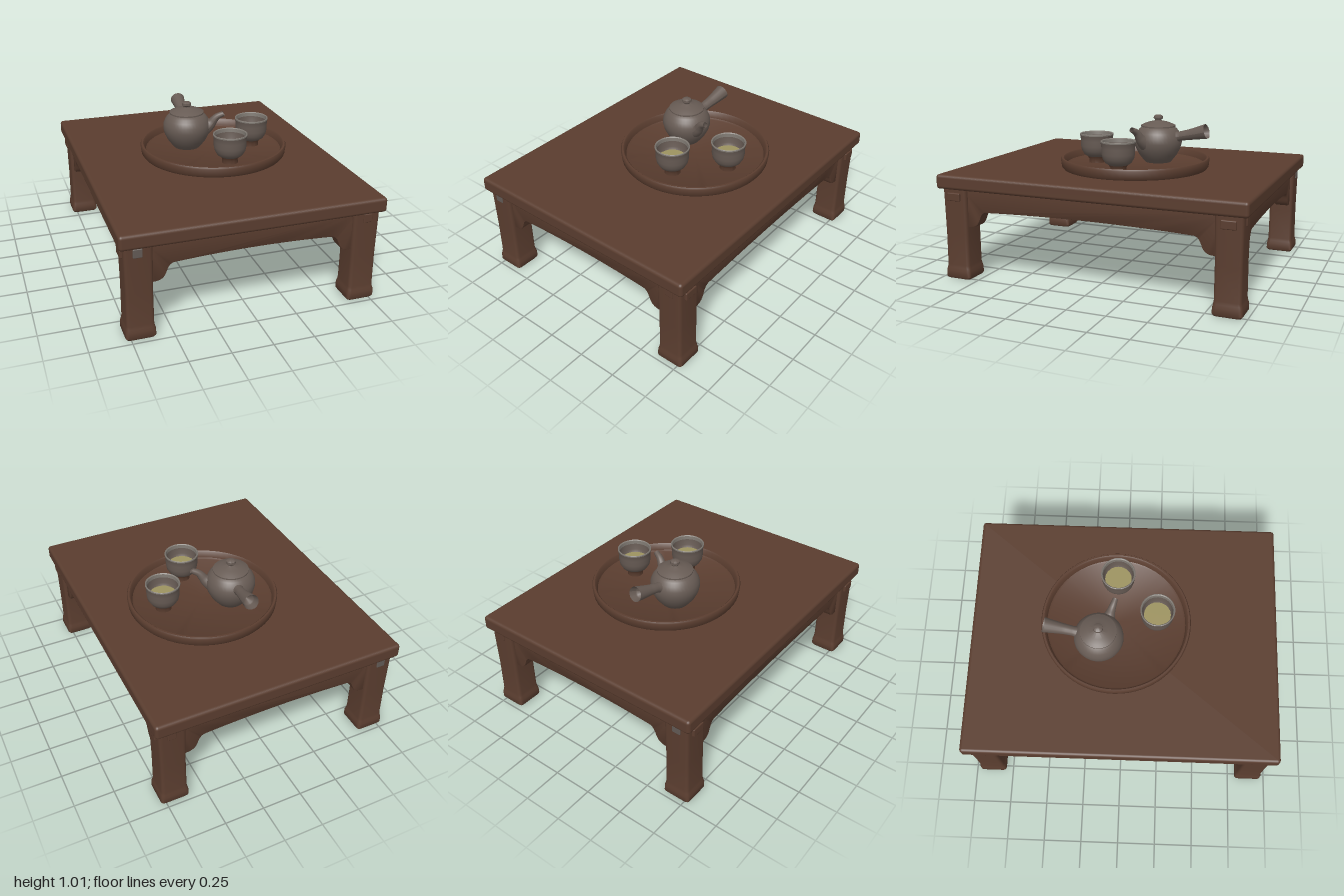
import * as THREE from 'three';
import { toCreasedNormals } from 'three/addons/utils/BufferGeometryUtils.js';
import { RoundedBoxGeometry } from 'three/addons/geometries/RoundedBoxGeometry.js';

const material = (name, color, side = THREE.FrontSide) => {
  const m = new THREE.MeshStandardMaterial({ color, side });
  m.name = name;
  return m;
};

export function createModel() {
  const wood = material('brown wood', 0x5a3d2f);
  const darkWood = material('dark underside wood', 0x2e2019);
  const clay = material('grey clay', 0x675b54, THREE.DoubleSide);
  const glaze = material('pale rim glaze', 0x7d7770);
  const tea = material('green tea', 0x9d9360);
  const worn = material('worn grey', 0x625a55);

  const model = new THREE.Group();
  model.name = 'teaTable';

  const add = (parent, name, geometry, mat, x = 0, y = 0, z = 0) => {
    const mesh = new THREE.Mesh(geometry, mat);
    mesh.name = name;
    mesh.position.set(x, y, z);
    parent.add(mesh);
    return mesh;
  };
  const lathe = (points, segments = 40) => toCreasedNormals(
    new THREE.LatheGeometry(points.map(([r, y]) => new THREE.Vector2(r, y)), segments), 0.7);

  // Tube whose radius runs through the given list along the path
  const taperedTube = (path, radii) => {
    const n = 20, sides = 16;
    const g = new THREE.TubeGeometry(path, n, 1, sides, false);
    const pos = g.attributes.position, v = new THREE.Vector3();
    for (let i = 0; i < pos.count; i++) {
      const t = Math.floor(i / (sides + 1)) / n;
      const s = t * (radii.length - 1), k = Math.min(Math.floor(s), radii.length - 2);
      const r = THREE.MathUtils.lerp(radii[k], radii[k + 1], s - k);
      const p = path.getPointAt(t);
      v.fromBufferAttribute(pos, i).sub(p).multiplyScalar(r).add(p);
      pos.setXYZ(i, v.x, v.y, v.z);
    }
    g.computeVertexNormals();
    return g;
  };
  const curve = pts => new THREE.CatmullRomCurve3(pts.map(p => new THREE.Vector3(...p)));

  // Table top with softened edges and a dark panel beneath
  add(model, 'tableTop', new RoundedBoxGeometry(1.61, 0.092, 2, 3, 0.02), wood, 0, 0.631, 0);
  add(model, 'undersidePanel', new THREE.BoxGeometry(1.4, 0.008, 1.76), darkWood, 0, 0.582, 0);

  // Legs: rounded square post, shaped by half-width at each height
  const h = 0.08, c = 0.022;
  const square = new THREE.Shape();
  square.moveTo(-h + c, -h);
  square.lineTo(h - c, -h).quadraticCurveTo(h, -h, h, -h + c);
  square.lineTo(h, h - c).quadraticCurveTo(h, h, h - c, h);
  square.lineTo(-h + c, h).quadraticCurveTo(-h, h, -h, h - c);
  square.lineTo(-h, -h + c).quadraticCurveTo(-h, -h, -h + c, -h);
  const heights = [0, 0.012, 0.05, 0.07, 0.09, 0.3, 0.59];
  const widths = [0.082, 0.09, 0.089, 0.084, 0.081, 0.08, 0.084];
  let legGeometry = new THREE.ExtrudeGeometry(square,
    { depth: 6, steps: 6, bevelEnabled: false, curveSegments: 4 });
  legGeometry.rotateX(-Math.PI / 2);
  const lp = legGeometry.attributes.position;
  for (let i = 0; i < lp.count; i++) {
    const k = Math.round(lp.getY(i)), s = widths[k] / h;
    lp.setXYZ(i, lp.getX(i) * s, heights[k], lp.getZ(i) * s);
  }
  legGeometry = toCreasedNormals(legGeometry, 0.7);

  for (const sx of [-1, 1]) for (const sz of [-1, 1]) {
    const leg = new THREE.Group();
    leg.name = 'leg';
    leg.position.set(sx * 0.692, 0, sz * 0.885);
    model.add(leg);
    add(leg, 'legPost', legGeometry, wood);
    add(leg, 'footPad', new THREE.BoxGeometry(0.135, 0.006, 0.135), worn, 0, 0.001, 0);
    // Joint pegs on the two outer faces
    add(leg, 'sidePeg', new RoundedBoxGeometry(0.03, 0.052, 0.09, 2, 0.006), wood, sx * 0.083, 0.537, 0);
    add(leg, 'endPeg', new RoundedBoxGeometry(0.055, 0.055, 0.02, 2, 0.005),
      sx < 0 ? worn : wood, sx * 0.005, 0.55, sz * 0.08);
  }

  // Aprons: shallow arch with a curled bracket at each end
  const apron = (end, depth) => {
    const s = new THREE.Shape();
    s.moveTo(-end - 0.04, 0.59);
    s.lineTo(-end - 0.04, 0.34);
    s.lineTo(-end + 0.02, 0.342);
    s.bezierCurveTo(-end + 0.1, 0.35, -end + 0.07, 0.43, -end + 0.125, 0.445);
    s.quadraticCurveTo(0, 0.477, end - 0.125, 0.445);
    s.bezierCurveTo(end - 0.07, 0.43, end - 0.1, 0.35, end - 0.02, 0.342);
    s.lineTo(end + 0.04, 0.34);
    s.lineTo(end + 0.04, 0.59);
    const g = new THREE.ExtrudeGeometry(s, { depth: depth - 0.016, curveSegments: 14,
      bevelThickness: 0.008, bevelSize: 0.006, bevelOffset: -0.006, bevelSegments: 2 });
    g.translate(0, 0, -(depth - 0.016) / 2);
    return toCreasedNormals(g, 0.6);
  };
  const shortApron = apron(0.612, 0.09), longApron = apron(0.805, 0.09);
  for (const s of [-1, 1]) {
    add(model, 'endApron', shortApron, wood, 0, 0, s * 0.9);
    add(model, 'sideApron', longApron, wood, s * 0.707, 0, 0).rotation.y = Math.PI / 2;
  }

  // Round tray with a raised lip
  add(model, 'tray', lathe([[0, 0.674], [0.468, 0.674], [0.48, 0.69], [0.486, 0.735], [0.48, 0.746],
    [0.468, 0.746], [0.46, 0.738], [0.452, 0.7], [0.44, 0.692], [0, 0.692]], 64), wood, 0.08, 0, -0.055);

  // Cups with brown foot, pale lip and tea
  for (const [x, z] of [[0.105, 0.21], [0.35, -0.05]]) {
    const cup = new THREE.Group();
    cup.name = 'cup';
    cup.position.set(x, 0, z);
    model.add(cup);
    add(cup, 'cupFoot', lathe([[0, 0.69], [0.052, 0.69], [0.05, 0.715], [0.062, 0.735]]), wood);
    add(cup, 'cupBody', lathe([[0, 0.728], [0.055, 0.73], [0.083, 0.748], [0.099, 0.775], [0.105, 0.805],
      [0.105, 0.84], [0.107, 0.86], [0.111, 0.876]]), clay);
    add(cup, 'cupLip', lathe([[0.111, 0.876], [0.111, 0.884], [0.107, 0.887], [0.101, 0.882], [0.098, 0.86]]), glaze);
    add(cup, 'cupInside', lathe([[0.098, 0.86], [0.094, 0.82], [0.084, 0.79], [0.06, 0.77], [0, 0.765]]), clay);
    add(cup, 'tea', new THREE.CylinderGeometry(0.087, 0.087, 0.006, 20), tea, 0, 0.8, 0);
  }

  // Teapot with lid, spout and side handle
  const pot = new THREE.Group();
  pot.name = 'teapot';
  pot.position.set(-0.072, 0, -0.158);
  model.add(pot);
  add(pot, 'potBody', lathe([[0, 0.692], [0.085, 0.692], [0.105, 0.715], [0.128, 0.745], [0.148, 0.785],
    [0.158, 0.825], [0.155, 0.86], [0.142, 0.89], [0.125, 0.912], [0.105, 0.928], [0, 0.93]]), clay);
  add(pot, 'potLid', lathe([[0.1, 0.925], [0.114, 0.927], [0.114, 0.936], [0.095, 0.945], [0.065, 0.957],
    [0.03, 0.964], [0.022, 0.968], [0.022, 0.974], [0.031, 0.982], [0.03, 0.996], [0.018, 1.004], [0, 1.006]]), clay);
  const spoutPath = curve([[0.09, 0.81, 0.04], [0.145, 0.852, 0.063], [0.185, 0.905, 0.082], [0.228, 0.928, 0.098]]);
  add(pot, 'spout', taperedTube(spoutPath, [0.055, 0.044, 0.029, 0.022, 0.017]), clay);
  const handlePath = curve([[0.012, 0.855, -0.1], [0.02, 0.873, -0.16], [0.03, 0.893, -0.25], [0.038, 0.917, -0.345]]);
  add(pot, 'handle', taperedTube(handlePath, [0.042, 0.031, 0.034, 0.041, 0.048]), clay);
  // Hollow inside of the handle end
  const hollowPath = curve([[0.038, 0.917, -0.345], [0.034, 0.905, -0.3], [0.03, 0.894, -0.255]]);
  add(pot, 'handleHollow', taperedTube(hollowPath, [0.048, 0.036, 0.0005]), clay);

  return model;
}
